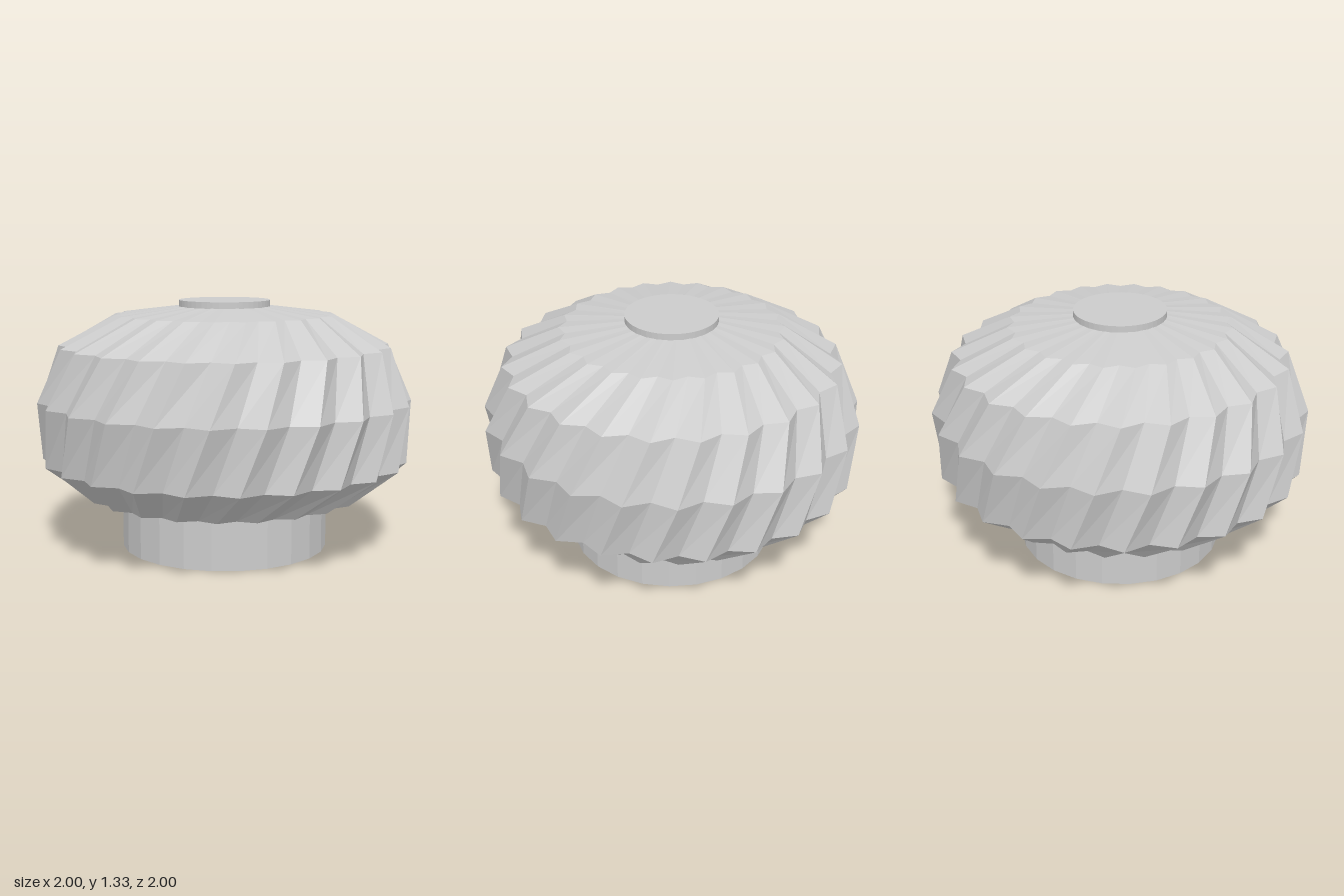
import * as THREE from 'three';

const FLUTES = 24;
const VALLEY = 0.94; // valley radius relative to the ridge radius
const TWIST = THREE.MathUtils.degToRad(7); // swirl added at each ring
const START = THREE.MathUtils.degToRad(-11);

// Ridge profile of the dome: [radius, height]
const PROFILE = [
  [0.757, 0.3],
  [0.98, 0.48],
  [1.0, 0.8],
  [0.885, 1.09],
  [0.585, 1.255],
  [0.2, 1.303],
];

// Swirling fluted shell: zigzag rings, each turned a little further
function flutedShell() {
  const n = FLUTES * 2;
  const positions = [];
  const index = [];
  PROFILE.forEach(([radius, y], ring) => {
    for (let j = 0; j < n; j++) {
      const a = START + ring * TWIST + (j / n) * Math.PI * 2;
      const r = radius * (j % 2 ? VALLEY : 1);
      positions.push(Math.sin(a) * r, y, Math.cos(a) * r);
    }
  });
  for (let i = 0; i < PROFILE.length - 1; i++) {
    for (let j = 0; j < n; j++) {
      const k = (j + 1) % n;
      const a = i * n + j, b = i * n + k;
      const c = b + n, d = a + n;
      index.push(a, b, c, a, c, d);
    }
  }
  const geometry = new THREE.BufferGeometry();
  geometry.setAttribute('position', new THREE.Float32BufferAttribute(positions, 3));
  geometry.setIndex(index);
  geometry.computeVertexNormals();
  return geometry;
}

export function createModel() {
  const group = new THREE.Group();
  group.name = 'turbineVent';

  const solid = new THREE.MeshStandardMaterial({ color: 0xcccccc, flatShading: true });
  const thin = new THREE.MeshStandardMaterial({
    color: 0xcccccc, flatShading: true, side: THREE.DoubleSide,
  });

  function add(name, geometry, material, y = 0) {
    const mesh = new THREE.Mesh(geometry, material);
    mesh.name = name;
    mesh.position.y = y;
    group.add(mesh);
  }

  // Round pipe the vent stands on
  add('neck', new THREE.CylinderGeometry(0.555, 0.555, 0.3, 24), solid, 0.15);
  // Open-bottomed rotor with swirling vanes
  add('flutedDome', flutedShell(), thin);
  // Flat disc closing the top
  add('topCap', new THREE.CylinderGeometry(0.243, 0.243, 0.035, 48), solid, 1.3125);

  return group;
}
